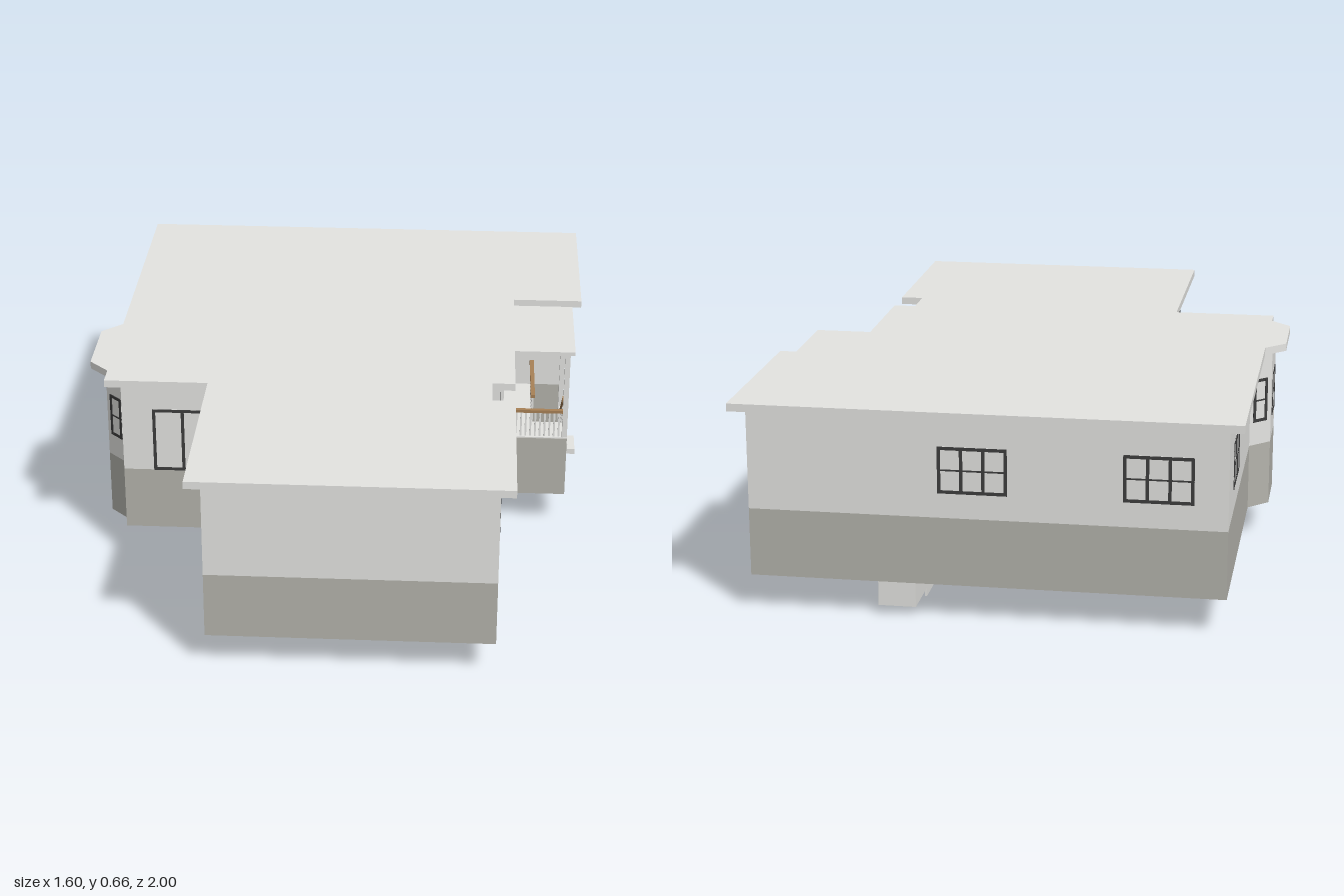
import * as THREE from 'three';

const mat = (name, color) => {
  const m = new THREE.MeshStandardMaterial({ color });
  m.name = name;
  return m;
};

export function createModel() {
  const house = new THREE.Group();
  house.name = 'house';
  const light = mat('light wall', 0xe6e6e3);
  const base = mat('foundation grey', 0xb5b4ad);
  const dark = mat('frame charcoal', 0x3e3e3e);
  const wood = mat('rail wood', 0xa98257);
  const door = mat('door brown', 0x6b583c);
  const floor = mat('floor wood', 0xbd9d78);
  const slate = mat('partition grey', 0x7c7c7c);

  const add = (name, geo, m, parent = house) => {
    const mesh = new THREE.Mesh(geo, m);
    mesh.name = name;
    parent.add(mesh);
    return mesh;
  };
  const box = (name, m, x0, x1, y0, y1, z0, z1, parent = house) => {
    const mesh = add(name, new THREE.BoxGeometry(x1 - x0, y1 - y0, z1 - z0), m, parent);
    mesh.position.set((x0 + x1) / 2, (y0 + y1) / 2, (z0 + z1) / 2);
    return mesh;
  };

  // Roof outline as x, z pairs; the walls are inset from it
  const roofLine = [
    [-0.736, -1], [0.8, -1], [0.8, -0.38], [0.57, -0.38], [0.57, 0.285], [0.498, 0.285],
    [0.498, 0.407], [0.57, 0.407], [0.57, 1], [-0.405, 1], [-0.405, 0.335], [-0.736, 0.335],
    [-0.736, 0.262], [-0.8, 0.198], [-0.8, -0.038], [-0.736, -0.102],
  ].map(([x, z]) => new THREE.Vector2(x, z));

  // Mitred inward offset of a closed outline
  const inset = (pts, d) => pts.map((p, i) => {
    const n = pts.length;
    const normal = (a, b) => new THREE.Vector2(a.y - b.y, b.x - a.x).normalize();
    const n1 = normal(pts[(i + n - 1) % n], p);
    const n2 = normal(p, pts[(i + 1) % n]);
    const m = n1.clone().add(n2);
    return p.clone().addScaledVector(m, d / (1 + n1.dot(n2)));
  });
  const slab = (outline, y0, y1, hole) => {
    const shape = new THREE.Shape(outline);
    if (hole) shape.holes.push(new THREE.Path(hole));
    return new THREE.ExtrudeGeometry(shape, { depth: y1 - y0, bevelEnabled: false })
      .rotateX(Math.PI / 2).translate(0, y1, 0);
  };

  const wallLine = inset(roofLine, 0.045);
  const innerLine = inset(wallLine, 0.003);
  add('roof', slab(roofLine, 0.638, 0.662), light);
  add('upperWalls', slab(wallLine, 0.323, 0.638, innerLine), light);
  add('foundationWalls', slab(wallLine, 0.111, 0.323, innerLine), base);

  // Main floor, seen from the open basement
  box('backFloor', floor, -0.686, 0.75, 0.3, 0.32, -0.95, -0.6);
  box('middleFloor', base, -0.686, 0.52, 0.3, 0.32, -0.6, 0.235);
  box('middleFloorEdge', base, -0.686, -0.358, 0.3, 0.32, 0.235, 0.285);
  box('sideFloor', base, 0.52, 0.75, 0.3, 0.32, -0.6, -0.43);
  box('bayFloor', base, -0.75, -0.686, 0.3, 0.32, -0.018, 0.178);
  box('wingFloor', floor, -0.357, 0.45, 0.3, 0.32, 0.235, 0.95);
  box('wingFloorEdge', floor, 0.45, 0.52, 0.3, 0.32, 0.455, 0.95);

  // Windows: a thin pane with frame bars, facing local +z
  const windowUnit = (name, x, z, angle, w, cols = 3, rows = 2, y0 = 0.4, y1 = 0.545) => {
    const g = new THREE.Group();
    g.name = name;
    g.position.set(x, 0, z);
    g.rotation.y = angle;
    const t = 0.01;
    box('pane', light, -w / 2, w / 2, y0, y1, -0.001, 0.001, g);
    for (let i = 0; i <= cols; i++) {
      const c = -w / 2 + t / 2 + (i / cols) * (w - t);
      box('upright', dark, c - t / 2, c + t / 2, y0, y1, -0.001, 0.003, g);
    }
    for (let j = 0; j <= rows; j++) {
      const edge = j === 0 || j === rows;
      const c = y0 + t / 2 + (j / rows) * (y1 - y0 - t);
      const h = edge ? t : t * 0.5;
      box('crossbar', dark, -w / 2, w / 2, c - h / 2, c + h / 2, -0.001, 0.0025, g);
    }
    house.add(g);
  };
  const R = Math.PI / 2;
  windowUnit('slidingDoor', -0.495, 0.29, 0, 0.195, 2, 1, 0.323, 0.542);
  windowUnit('wingRightWindow', 0.525, 0.705, R, 0.245);
  windowUnit('recessWindow', 0.453, 0.35, R, 0.095, 1);
  windowUnit('rightNarrowWindow', 0.525, 0.117, R, 0.095, 1);
  windowUnit('porchWindow', 0.525, -0.285, R, 0.17);
  windowUnit('backRightWindow', 0.755, -0.675, R, 0.2);
  windowUnit('backWindow', 0.07, -0.955, 2 * R, 0.21);
  windowUnit('backWindow', -0.485, -0.955, 2 * R, 0.21);
  windowUnit('leftWindow', -0.691, -0.69, -R, 0.2);
  windowUnit('bayWindow', -0.755, 0.08, -R, 0.11, 1);
  windowUnit('bayFrontWindow', -0.7215, 0.213, -R / 2, 0.058, 1);
  windowUnit('bayBackWindow', -0.7215, -0.053, -1.5 * R, 0.058, 1);
  windowUnit('wingLeftWindow', -0.36, 0.6, -R, 0.12, 1);
  windowUnit('wingLeftWindow', -0.36, 0.87, -R, 0.1, 1);

  // Front door beside its side light
  box('doorLeaf', door, 0.524, 0.53, 0.325, 0.545, -0.142, -0.09);
  box('sideLight', light, 0.524, 0.529, 0.325, 0.545, -0.185, -0.142);
  box('doorHandle', dark, 0.528, 0.533, 0.485, 0.5, -0.165, -0.158);

  // Porch: L-shaped deck, foundation sides, roof and posts
  const porch = new THREE.Group();
  porch.name = 'porch';
  house.add(porch);
  box('porchRoof', light, 0.525, 0.77, 0.627, 0.64, -0.4, -0.01, porch);
  box('frontDeck', light, 0.525, 0.755, 0.308, 0.323, -0.13, -0.015, porch);
  box('sideDeck', light, 0.525, 0.64, 0.308, 0.323, -0.425, -0.13, porch);
  box('frontFoundation', base, 0.525, 0.755, 0.111, 0.32, -0.02, -0.012, porch);
  box('sideFoundation', base, 0.747, 0.755, 0.111, 0.32, -0.13, -0.02, porch);
  box('deckFoundation', base, 0.634, 0.64, 0.111, 0.31, -0.425, -0.13, porch);
  for (const z of [-0.027, -0.413]) {
    box('porchPost', light, 0.738, 0.755, z < -0.1 ? 0.17 : 0.32, 0.63, z - 0.009, z + 0.009, porch);
  }
  box('sideHeader', light, 0.739, 0.755, 0.62, 0.63, -0.413, -0.027, porch);

  // Front opening with rounded upper corners
  const arch = new THREE.Shape([
    [0.525, 0.32], [0.54, 0.32], [0.54, 0.61],
  ].map(([x, y]) => new THREE.Vector2(x, y)));
  arch.quadraticCurveTo(0.54, 0.624, 0.554, 0.624);
  arch.lineTo(0.724, 0.624);
  arch.quadraticCurveTo(0.738, 0.624, 0.738, 0.61);
  arch.lineTo(0.738, 0.6);
  arch.lineTo(0.755, 0.6);
  arch.lineTo(0.755, 0.63);
  arch.lineTo(0.525, 0.63);
  add('frontArch', new THREE.ExtrudeGeometry(arch, { depth: 0.016, bevelEnabled: false })
    .translate(0, 0, -0.033), light, porch);

  // Porch stairs run toward the back, then turn outward at the landing
  const steps = 7;
  for (let i = 0; i < steps; i++) {
    const z = -0.13 - i * 0.026;
    const y = 0.303 - i * 0.0195;
    box('porchStep', light, 0.64, 0.75, y - 0.025, y, z - 0.03, z, porch);
    box('stepSide', base, 0.747, 0.755, 0.111, y - 0.006, z - 0.026, z, porch);
  }
  box('landing', light, 0.64, 0.755, 0.155, 0.17, -0.425, -0.31, porch);
  box('landingSide', base, 0.747, 0.755, 0.111, 0.155, -0.425, -0.31, porch);
  box('upperOutsideStep', light, 0.755, 0.772, 0.13, 0.15, -0.415, -0.31, porch);
  box('lowerOutsideStep', light, 0.755, 0.798, 0.111, 0.13, -0.415, -0.31, porch);

  // Railings: front, outer side, inner deck edge and the sloping stair rail
  const baluster = (x, z, y0, y1) =>
    box('baluster', light, x - 0.003, x + 0.003, y0, y1, z - 0.003, z + 0.003, porch);
  box('frontRail', wood, 0.54, 0.74, 0.41, 0.42, -0.034, -0.02, porch);
  box('sideRail', wood, 0.739, 0.753, 0.41, 0.42, -0.135, -0.03, porch);
  box('deckRail', wood, 0.633, 0.647, 0.41, 0.42, -0.415, -0.135, porch);
  for (let i = 0; i < 12; i++) baluster(0.553 + i * 0.0158, -0.027, 0.323, 0.412);
  for (let i = 0; i < 6; i++) baluster(0.746, -0.045 - i * 0.016, 0.323, 0.412);
  for (let i = 0; i < 17; i++) baluster(0.64, -0.145 - i * 0.016, 0.318, 0.412);
  for (let i = 0; i < 7; i++) {
    baluster(0.746, -0.148 - i * 0.026, 0.293 - i * 0.0195, 0.395 - i * 0.0195);
  }
  const slope = box('stairRail', wood, 0.739, 0.753, 0.339, 0.349, -0.338, -0.102, porch);
  slope.rotation.x = -Math.atan2(0.0195, 0.026);
  box('stairNewel', light, 0.738, 0.754, 0.17, 0.29, -0.322, -0.306, porch);

  // Basement stairwells: thin partitions reaching below the foundation
  const well = new THREE.Group();
  well.name = 'basementStairs';
  house.add(well);
  const T = 0.006;
  for (const z of [0.24, 0.465 - T]) {
    box('wingWellSide', light, 0.1, 0.43, 0, 0.3, z, z + T, well);
    box('wingWellSideEnd', light, 0.07, 0.1, 0.027, 0.3, z, z + T, well);
  }
  box('wingWellEnd', light, 0.43 - T, 0.43, 0, 0.3, 0.24 + T, 0.465 - T, well);
  box('wingWellFoot', light, 0.07, 0.07 + T, 0.027, 0.3, 0.24 + T, 0.465 - T, well);
  for (const x of [0.25, 0.365 - T]) {
    box('backWellSide', light, x, x + T, 0, 0.3, -0.77, -0.44, well);
    box('backWellSideEnd', light, x, x + T, 0.027, 0.3, -0.935, -0.77, well);
  }
  box('backWellEnd', light, 0.25 + T, 0.365 - T, 0, 0.3, -0.44 - T, -0.44, well);
  box('backWellFoot', light, 0.25 + T, 0.365 - T, 0.027, 0.3, -0.935, -0.935 + T, well);
  for (let i = 0; i < 10; i++) {
    const y = 0.05 + i * 0.025;
    const x = 0.12 + i * 0.029;
    const z = -0.76 + i * 0.03;
    box('wingStair', light, x, x + 0.034, y, y + 0.025, 0.246, 0.459, well);
    box('backStair', light, 0.256, 0.359, y, y + 0.025, z, z + 0.035, well);
  }
  box('basementPartition', slate, 0.14, 0.49, 0.115, 0.3, -0.235, -0.225, well);
  return house;
}
